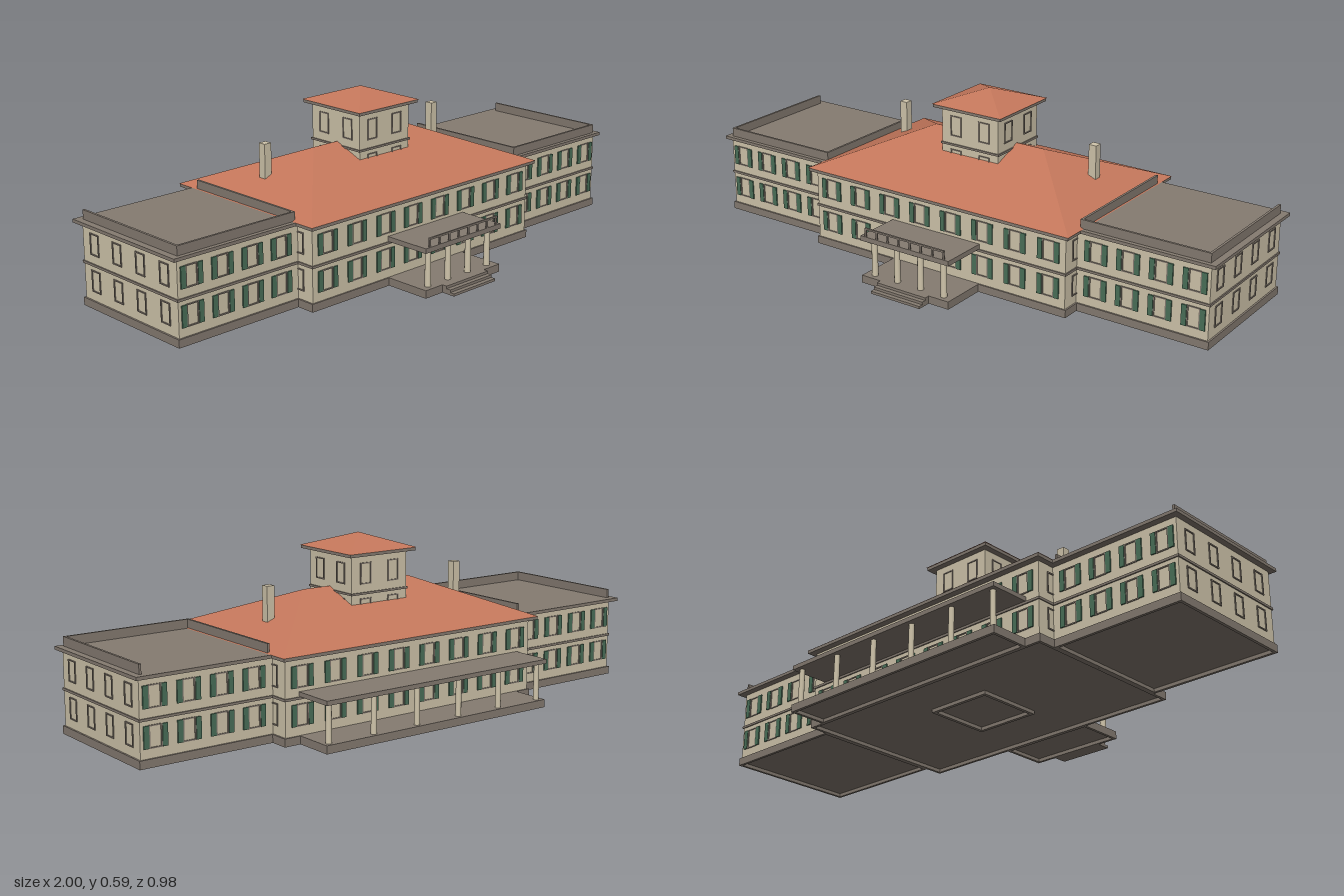
import * as THREE from 'three';

const mat = (name, color, side = THREE.FrontSide) => {
  const m = new THREE.MeshStandardMaterial({ color, side });
  m.name = name;
  return m;
};

export function createModel() {
  const root = new THREE.Group();
  root.name = 'villa';
  const wall = mat('cream stucco', 0xd0c5ab);
  const stone = mat('grey stone', 0x857b71);
  const tile = mat('terracotta tile', 0xc4775b, THREE.DoubleSide);
  const green = mat('green shutter paint', 0x4a7059);

  const add = (name, geo, material, parent = root) => {
    const m = new THREE.Mesh(geo, material);
    m.name = name;
    parent.add(m);
    return m;
  };
  // box given by its limits on each axis
  const box = (name, material, x0, x1, y0, y1, z0, z1, parent) => {
    const m = add(name, new THREE.BoxGeometry(x1 - x0, y1 - y0, z1 - z0), material, parent);
    m.position.set((x0 + x1) / 2, (y0 + y1) / 2, (z0 + z1) / 2);
    return m;
  };
  // rectangular ring lying in the xy plane, extruded along +z
  const ring = (w, h, t, depth) => {
    const rect = (P, a, b) => new P([[-a, -b], [a, -b], [a, b], [-a, b]].map(p => new THREE.Vector2(...p)));
    const s = rect(THREE.Shape, w / 2, h / 2);
    s.holes.push(rect(THREE.Path, w / 2 - t, h / 2 - t));
    return new THREE.ExtrudeGeometry(s, { depth, bevelEnabled: false });
  };
  // stone plinth: slab over a rim that is open underneath
  const plinth = (name, x0, x1, z0, z1) => {
    box(name, stone, x0, x1, 0.012, 0.027, z0, z1);
    const m = add(name + 'Rim', ring(x1 - x0, z1 - z0, 0.01, 0.012).rotateX(-Math.PI / 2), stone);
    m.position.set((x0 + x1) / 2, 0, (z0 + z1) / 2);
  };
  // hipped roof with a ridge along x (ridge 0 gives a pyramid)
  const hipRoof = (name, hx, hz, ridge, y0, y1, cz) => {
    const a = [-hx, y0, hz], b = [hx, y0, hz], c = [hx, y0, -hz], d = [-hx, y0, -hz];
    const l = [-ridge, y1, 0], r = [ridge, y1, 0];
    const tris = [a, b, r, c, d, l, b, c, r, d, a, l];
    if (ridge > 0) tris.push(a, r, l, c, l, r);
    const g = new THREE.BufferGeometry();
    g.setAttribute('position', new THREE.Float32BufferAttribute(tris.flat(), 3));
    g.computeVertexNormals();
    add(name, g, tile).position.z = cz;
  };
  // window on a wall; angle turns it to face outwards
  const frameGeo = ring(0.045, 0.072, 0.004, 0.003);
  const shutterGeo = new THREE.BoxGeometry(0.018, 0.07, 0.005);
  const windowAt = (x, y, z, angle, shutters) => {
    const g = new THREE.Group();
    g.name = 'window';
    g.position.set(x, y, z);
    g.rotation.y = angle;
    root.add(g);
    add('windowFrame', frameGeo, stone, g);
    if (shutters) for (const s of [-1, 1])
      add('shutter', shutterGeo, green, g).position.set(s * 0.032, 0, 0.002);
  };
  const floors = [0.093, 0.215];

  // main block
  const F = 0.267, B = -0.343, MX = 0.51, MC = -0.038;
  plinth('mainPlinth', -MX - 0.006, MX + 0.006, B - 0.005, F + 0.005);
  box('mainWalls', wall, -MX, MX, 0.027, 0.274, B, F);
  box('mainBeltCourse', stone, -MX - 0.004, MX + 0.004, 0.143, 0.151, B - 0.004, F + 0.004);
  box('mainEaves', stone, -0.53, 0.53, 0.274, 0.285, -0.367, 0.289);
  hipRoof('mainRoof', 0.532, 0.329, 0.222, 0.285, 0.416, -0.039);
  for (const y of floors) {
    for (let i = 0; i < 8; i++) {
      const x = (i - 3.5) * 0.1275;
      windowAt(x, y, F, 0, true);
      windowAt(x, y, B, Math.PI, true);
    }
    for (const s of [-1, 1]) for (const dz of [-0.243, 0.243])
      windowAt(s * MX, y, MC + dz, s * Math.PI / 2, false);
  }

  // side wings with parapets on front, outer and inner sides
  const WF = 0.2, WB = -0.276, WX = 0.98;
  for (const s of [-1, 1]) {
    const span = (name, m, a, b, ...rest) => box(name, m, Math.min(s * a, s * b), Math.max(s * a, s * b), ...rest);
    plinth('wingPlinth', s > 0 ? 0.516 : -0.986, s > 0 ? 0.986 : -0.516, WB - 0.006, WF + 0.006);
    span('wingWalls', wall, MX, WX, 0.027, 0.274, WB, WF);
    span('wingBeltCourse', stone, MX, WX + 0.004, 0.143, 0.151, WB - 0.004, WF + 0.004);
    span('wingRoof', stone, MX, 1.0, 0.274, 0.285, -0.3, 0.215);
    span('wingParapet', stone, 0.52, 0.977, 0.285, 0.316, WF - 0.008, WF);
    span('wingParapet', stone, 0.969, 0.977, 0.285, 0.316, WB, WF);
    span('wingParapet', stone, 0.52, 0.528, 0.285, 0.316, WB, WF);
    for (const y of floors) for (let i = 0; i < 4; i++) {
      const x = s * (0.58 + i * 0.116);
      windowAt(x, y, WF, 0, true);
      windowAt(x, y, WB, Math.PI, true);
      windowAt(s * WX, y, MC + (i - 1.5) * 0.118, s * Math.PI / 2, false);
    }
    // chimney
    box('chimney', wall, s * 0.393 - 0.014, s * 0.393 + 0.014, 0.3, 0.455, -0.099, -0.071);
  }

  // tower
  const TC = -0.045, T = 0.115;
  box('towerWalls', wall, -T, T, 0.28, 0.529, TC - T, TC + T);
  box('towerBeltCourse', stone, -T - 0.004, T + 0.004, 0.399, 0.406, TC - T - 0.004, TC + T + 0.004);
  box('towerEaves', stone, -0.137, 0.137, 0.529, 0.54, TC - 0.137, TC + 0.137);
  hipRoof('towerRoof', 0.14, 0.14, 0, 0.54, 0.588, TC);
  for (const y of [0.35, 0.469]) for (let k = 0; k < 4; k++) for (const d of [-0.057, 0.057]) {
    const p = new THREE.Vector3(d, y, T).applyAxisAngle(new THREE.Vector3(0, 1, 0), k * Math.PI / 2);
    windowAt(p.x, p.y, p.z + TC, k * Math.PI / 2, false);
  }
  const foot = add('towerFooting', ring(0.24, 0.24, 0.012, 0.012).rotateX(-Math.PI / 2), stone);
  foot.position.z = TC;

  // columns with square caps
  const column = (x, z, r, top) => {
    add('column', new THREE.CylinderGeometry(r * 0.9, r, top - 0.027, 12), wall)
      .position.set(x, (top + 0.027) / 2, z);
  };

  // front portico with steps and railing
  plinth('porticoPlinth', -0.178, 0.178, F, 0.437);
  box('porticoRoof', stone, -0.18, 0.18, 0.152, 0.169, F, 0.437);
  for (const x of [-0.142, -0.048, 0.048, 0.142]) column(x, 0.411, 0.011, 0.152);
  [0.455, 0.471, 0.487].forEach((z, i) =>
    box('step', stone, -0.1, 0.1, 0, 0.027 - i * 0.009, 0.437, z));
  box('railTop', stone, -0.162, 0.162, 0.194, 0.2, 0.43, 0.437);
  for (let i = 0; i < 8; i++) {
    const x = -0.159 + i * 0.318 / 7;
    box('railPost', stone, x - 0.003, x + 0.003, 0.169, 0.194, 0.431, 0.436);
  }

  // rear porch
  plinth('porchPlinth', -0.457, 0.457, -0.485, B);
  box('porchRoof', stone, -0.458, 0.458, 0.152, 0.167, -0.488, B);
  for (let i = 0; i < 6; i++) column((i - 2.5) * 0.174, -0.465, 0.01, 0.152);

  return root;
}
